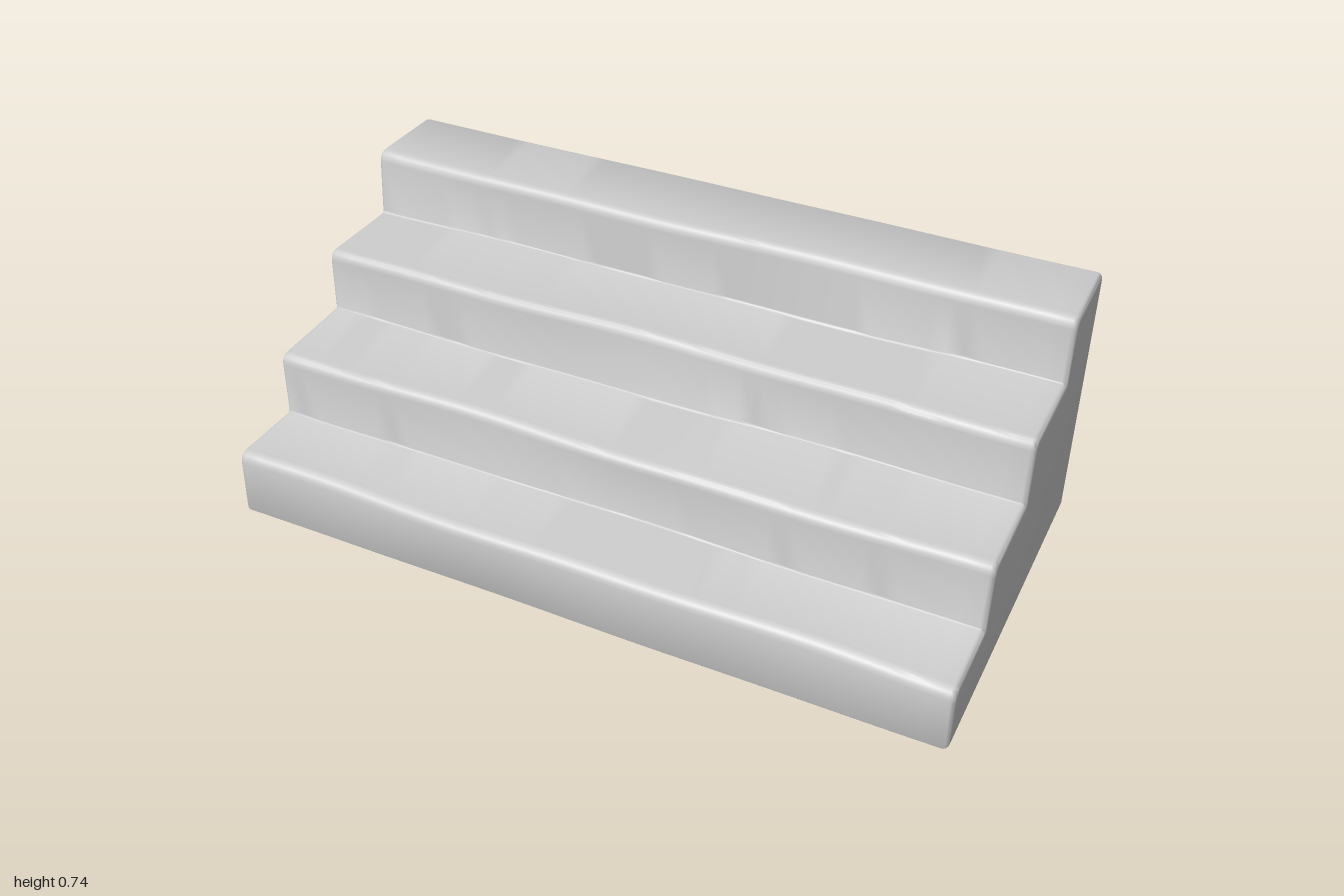
import * as THREE from 'three';
import { toCreasedNormals } from 'three/addons/utils/BufferGeometryUtils.js';

// Side profile corners: z, y, rounding radius, inward direction (z, y), wobble amount
const CORNERS = [
  [0.503, 0, 0.005, -1, 1, 0.3],
  [0.497, 0.183, 0.028, -1, -1, 1],
  [0.278, 0.188, 0.008, -1, -1, 0.7],
  [0.274, 0.369, 0.026, -1, -1, 1],
  [0.02, 0.377, 0.008, -1, -1, 0.7],
  [0.01, 0.558, 0.026, -1, -1, 1],
  [-0.249, 0.556, 0.008, -1, -1, 0.7],
  [-0.256, 0.739, 0.028, -1, -1, 0.8],
  [-0.507, 0.739, 0.006, 1, -1, 0.25],
  [-0.507, 0, 0.005, 1, 1, 0],
];
const ARC = 4;

// Gentle hand-carved waviness along the length
const wave = (x, s) => 0.5 * Math.sin(4.3 * x + s * 2.1) + 0.35 * Math.sin(9.1 * x + s * 4.7);

// Cross-section at x, shrunk by inset, with every corner rounded
function section(x, inset) {
  const pts = CORNERS.map(([z, y, , dz, dy, w], i) => new THREE.Vector2(
    z + dz * inset + 0.008 * w * wave(x, i),
    y + dy * inset + (y > 0 ? 0.004 * w * wave(x, i + 5) : 0)));
  const out = [];
  pts.forEach((p, i) => {
    const r = CORNERS[i][2];
    const toward = (q) => q.clone().sub(p).setLength(r).add(p);
    const a = toward(pts[(i + pts.length - 1) % pts.length]);
    const b = toward(pts[(i + 1) % pts.length]);
    const curve = new THREE.QuadraticBezierCurve(a, p, b);
    out.push(...curve.getPoints(ARC));
  });
  return out;
}

function stairGeometry() {
  // Stations along x: rounded ends, evenly spaced body
  const bevel = 0.014, stations = [], end = [];
  for (let k = 0; k <= 3; k++) {
    const a = (k / 3) * Math.PI / 2;
    end.push([1 - bevel * (1 - Math.sin(a)), bevel * (1 - Math.cos(a))]);
  }
  for (const [x, inset] of [...end].reverse()) stations.push([-x, inset]);
  for (let k = 1; k < 40; k++) stations.push([(k / 20 - 1) * (1 - bevel), 0]);
  stations.push(...end);

  const rings = stations.map(([x, inset]) => section(x, inset));
  const n = rings[0].length, pos = [], idx = [];
  rings.forEach((ring, i) => ring.forEach((p) => pos.push(stations[i][0], p.y, p.x)));
  for (let i = 0; i < rings.length - 1; i++) {
    for (let j = 0; j < n; j++) {
      const a = i * n + j, b = i * n + (j + 1) % n;
      idx.push(a, a + n, b, b, a + n, b + n);
    }
  }
  // Flat side walls
  for (const [i, side] of [[0, -1], [rings.length - 1, 1]]) {
    const ring = rings[i];
    for (const [a, b, c] of THREE.ShapeUtils.triangulateShape(ring, [])) {
      const A = ring[a], B = ring[b], C = ring[c];
      const facing = (B.y - A.y) * (C.x - A.x) - (B.x - A.x) * (C.y - A.y);
      const o = i * n;
      if (facing * side > 0) idx.push(o + a, o + b, o + c);
      else idx.push(o + a, o + c, o + b);
    }
  }
  const geo = new THREE.BufferGeometry();
  geo.setAttribute('position', new THREE.Float32BufferAttribute(pos, 3));
  geo.setIndex(idx);
  return toCreasedNormals(geo, 0.7);
}

export function createModel() {
  const group = new THREE.Group();
  group.name = 'staircase';
  const steps = new THREE.Mesh(stairGeometry(), new THREE.MeshStandardMaterial({ color: 0xcccccc }));
  steps.name = 'stoneSteps';
  group.add(steps);
  return group;
}
